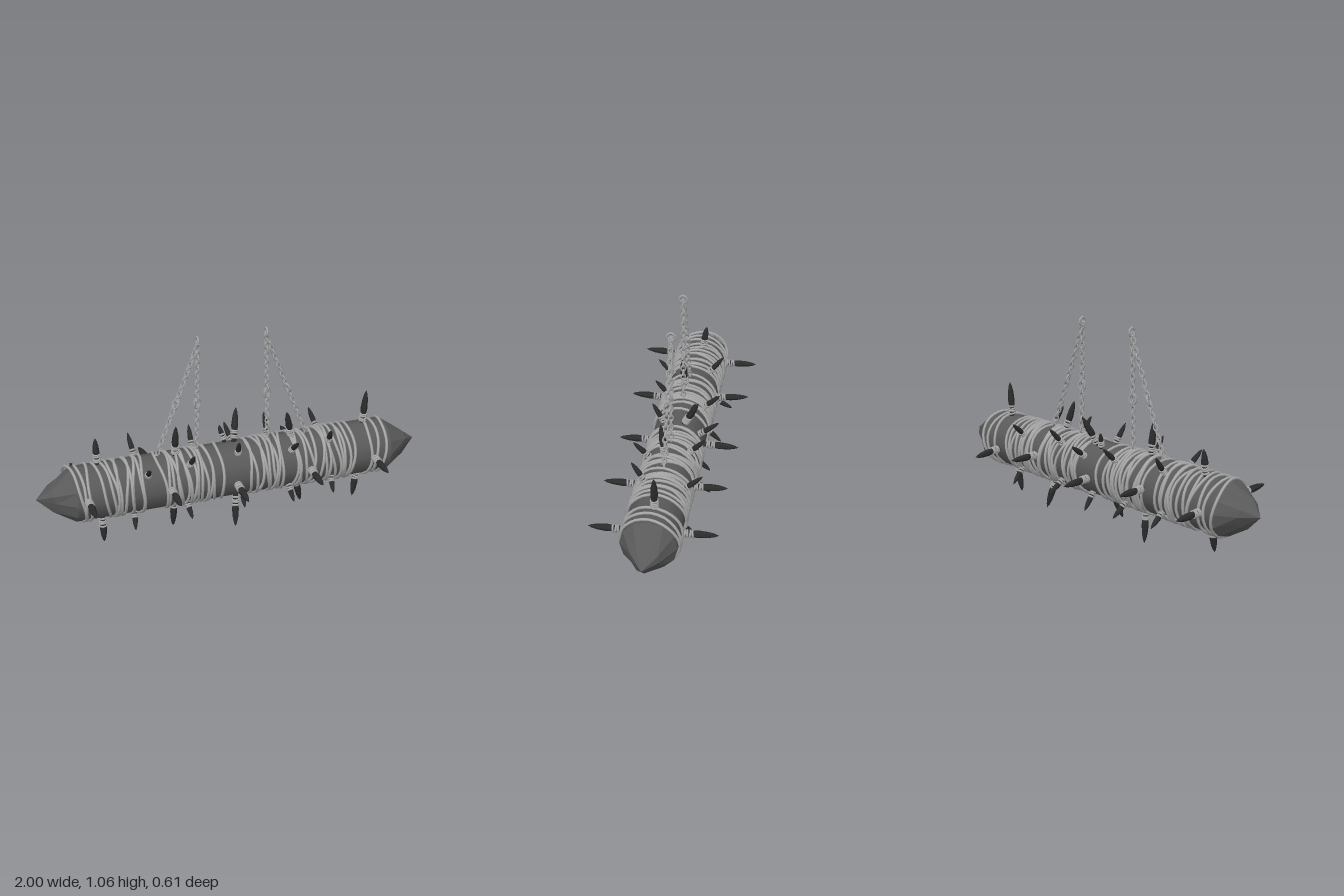
import * as THREE from 'three';

const AXIS_Y = 0.318, LOG_R = 0.137;
const UP = new THREE.Vector3(0, 1, 0);
const V = (x, y, z) => new THREE.Vector3(x, y, z);

const woodMat = new THREE.MeshStandardMaterial({ color: 0x5a5a5a });
const tipMat = new THREE.MeshStandardMaterial({ color: 0x5a5a5a, flatShading: true });
const spikeMat = new THREE.MeshStandardMaterial({ color: 0x2b2b2b, flatShading: true });
const ropeMat = new THREE.MeshStandardMaterial({ color: 0xa8a8a8 });
const chainMat = new THREE.MeshStandardMaterial({ color: 0xa0a0a0, flatShading: true });

function seeded(seed) {
  return () => (seed = (seed * 16807) % 2147483647) / 2147483647;
}

function add(parent, name, geometry, material) {
  const mesh = new THREE.Mesh(geometry, material);
  mesh.name = name;
  parent.add(mesh);
  return mesh;
}

// Log body with a roughly hewn point at each end
function makeLog() {
  const log = new THREE.Group();
  log.name = 'log';
  const body = add(log, 'logBody', new THREE.CylinderGeometry(LOG_R, LOG_R, 1.64, 12, 1, true), woodMat);
  body.rotation.z = Math.PI / 2;
  for (const side of [-1, 1]) {
    const profile = [[LOG_R, 0], [0.072, 0.098], [0, 0.18]].map(([r, h]) => new THREE.Vector2(r, h));
    const geo = new THREE.LatheGeometry(profile, 12);
    const pos = geo.attributes.position;
    for (let i = 0; i < pos.count; i++) {
      const h = pos.getY(i);
      // uneven axe cuts on the middle ring
      if (h > 0.05 && h < 0.15) {
        const a = Math.atan2(pos.getZ(i), pos.getX(i));
        pos.setY(i, h + 0.014 * Math.sin(3 * a + side));
      }
    }
    geo.computeVertexNormals();
    const tip = add(log, side > 0 ? 'leftPoint' : 'rightPoint', geo, tipMat);
    tip.rotation.z = -side * Math.PI / 2;
    tip.position.x = side * 0.82;
  }
  return log;
}

// Rope turns: slightly tilted loops, bunched into bands
function makeRopes() {
  const ropes = new THREE.Group();
  ropes.name = 'ropeWraps';
  const rnd = seeded(77);
  const bands = [
    [-0.81, -0.75, 3], [-0.68, -0.48, 10], [-0.38, -0.13, 13], [-0.08, -0.08, 1],
    [0.07, 0.25, 9], [0.29, 0.40, 6], [0.44, 0.61, 9], [0.71, 0.79, 3],
  ];
  for (const [x0, x1, n] of bands) {
    for (let i = 0; i < n; i++) {
      const x = n > 1 ? x0 + (x1 - x0) * i / (n - 1) : x0;
      const tilt = (rnd() - 0.5) * 0.055, phase = rnd() * 6.28, wob = rnd() * 6.28;
      const pts = [];
      for (let k = 0; k < 14; k++) {
        const a = k / 14 * Math.PI * 2;
        const r = LOG_R + 0.003 + 0.002 * Math.sin(2 * a + wob);
        pts.push(V(x + tilt * Math.cos(a + phase) + 0.005 * Math.sin(3 * a + wob), r * Math.cos(a), r * Math.sin(a)));
      }
      const path = new THREE.CatmullRomCurve3(pts, true);
      add(ropes, 'ropeTurn', new THREE.TubeGeometry(path, 28, 0.0075, 6, true), ropeMat);
    }
  }
  return ropes;
}

// Spike from base to tip with rope bound round its foot
function makeSpike(name, base, tip, radius, turns) {
  const spike = new THREE.Group();
  spike.name = name;
  const len = base.distanceTo(tip);
  const profile = [[0.7, 0], [0.8, 0.3], [1, 0.5], [0.8, 0.74], [0.45, 0.9], [0, 1]]
    .map(([r, h]) => new THREE.Vector2(r * radius, h * len));
  add(spike, 'spikeBlade', new THREE.LatheGeometry(profile, 7), spikeMat);
  for (let i = 0; i < turns; i++) {
    const ring = add(spike, 'spikeBinding', new THREE.TorusGeometry(radius * 0.9, 0.0055, 5, 12), ropeMat);
    ring.rotation.x = Math.PI / 2 + (i % 2 ? 0.12 : -0.1);
    ring.position.y = 0.026 + i * 0.0125;
  }
  spike.position.copy(base);
  spike.quaternion.setFromUnitVectors(UP, tip.clone().sub(base).normalize());
  return spike;
}

function makeSpikes() {
  const spikes = new THREE.Group();
  spikes.name = 'spikes';
  const big = (name, base, tip) => spikes.add(makeSpike(name, base, tip, 0.018, 4));

  // Upper and lower rows: base x, base z, tip x, tip y, tip z
  const upper = [
    [-0.685, -0.02, -0.685, 0.265, -0.04], [-0.30, 0.01, -0.297, 0.30, 0.03],
    [0.02, -0.03, 0.058, 0.28, -0.11], [0.315, 0.01, 0.275, 0.29, 0.04], [0.71, -0.01, 0.727, 0.315, -0.01],
  ];
  for (const [bx, bz, tx, ty, tz] of upper) big('upperSpike', V(bx, 0.12, bz), V(tx, ty, tz));
  const lower = [
    [-0.685, 0.03, -0.685, -0.27, 0.055], [-0.30, -0.02, -0.305, -0.306, -0.035],
    [0.005, 0.045, -0.015, -0.285, 0.105], [0.35, -0.02, 0.395, -0.298, -0.05], [0.69, 0.0, 0.665, -0.288, 0.01],
  ];
  for (const [bx, bz, tx, ty, tz] of lower) big('lowerSpike', V(bx, -0.12, bz), V(tx, ty, tz));

  // Front and back rows: x, y
  const front = [[-0.77, 0.025], [-0.355, 0.012], [-0.015, -0.018], [0.375, -0.004], [0.725, 0]];
  for (const [x, y] of front) big('frontSpike', V(x, y, 0.12), V(x, y * 1.4, 0.305));
  const back = [[-0.755, 0, -0.765], [-0.385, 0.02, -0.405], [-0.015, -0.015, -0.018], [0.375, 0.015, 0.372], [0.685, -0.02, 0.665]];
  for (const [x, y, tx] of back) big('backSpike', V(x, y, -0.12), V(tx, y * 1.4, -0.305));

  // Short spikes on the diagonals: angle from +z, reach, x positions
  const rows = [
    ['upperFrontSpike', 50, 0.25, [-0.46, -0.25, 0.01, 0.28, 0.49]],
    ['upperBackSpike', 136, 0.26, [-0.48, -0.18, 0.04, 0.22, 0.50]],
    ['lowerBackSpike', 220, 0.245, [-0.50, -0.25, 0.0, 0.20, 0.53]],
    ['lowerFrontSpike', 318, 0.23, [-0.53, -0.27, 0.02, 0.27, 0.50]],
  ];
  for (const [name, deg, reach, xs] of rows) {
    xs.forEach((x, i) => {
      const a = (deg + (i * 2 % 5 - 2) * 4) * Math.PI / 180;
      const dir = V(0, Math.sin(a), Math.cos(a));
      const base = dir.clone().multiplyScalar(0.115).setX(x);
      const tip = dir.clone().multiplyScalar(reach).setX(x + (i % 2 ? 0.01 : -0.015));
      spikes.add(makeSpike(name, base, tip, 0.014, 3));
    });
  }
  // Extra short spike beside the middle upper one
  spikes.add(makeSpike('upperSpike', V(-0.02, 0.115, -0.05), V(-0.042, 0.21, -0.08), 0.014, 3));
  return spikes;
}

// One oval chain link standing along y
function linkGeometry(halfW, halfH, wire) {
  const pts = [];
  for (let k = 0; k < 8; k++) {
    const a = (k + 0.5) / 8 * Math.PI * 2;
    pts.push(V(halfW * Math.cos(a), halfH * Math.sin(a), 0));
  }
  return new THREE.TubeGeometry(new THREE.CatmullRomCurve3(pts, true), 10, wire, 5, true);
}
const smallLink = linkGeometry(0.011, 0.018, 0.0042);
const bigLink = linkGeometry(0.018, 0.026, 0.006);

// Run of links, each turned a quarter from the last, with a larger joining link
function makeChain(name, from, to, bigAt) {
  const chain = new THREE.Group();
  chain.name = name;
  const len = from.distanceTo(to), n = Math.round(len / 0.0265), bigIndex = Math.round(n * bigAt);
  for (let i = 0; i <= n; i++) {
    const link = add(chain, 'chainLink', i === bigIndex ? bigLink : smallLink, chainMat);
    link.position.y = len * i / n;
    link.rotation.y = (i % 2) * Math.PI / 2 + Math.PI / 8;
  }
  chain.position.copy(from);
  chain.quaternion.setFromUnitVectors(UP, to.clone().sub(from).normalize());
  return chain;
}

export function createModel() {
  const model = new THREE.Group();
  model.name = 'spikedLogTrap';
  const trunk = new THREE.Group();
  trunk.name = 'trunk';
  trunk.position.y = AXIS_Y;
  trunk.add(makeLog(), makeRopes(), makeSpikes());
  model.add(trunk);

  // Two hanging chain pairs, each meeting at a top ring
  for (const s of [-1, 1]) {
    const side = s > 0 ? 'left' : 'right';
    const top = V(s * 0.174, 1.025, 0.005);
    model.add(makeChain(side + 'UprightChain', V(s * 0.186, 0.455, 0.005), top, 0.46));
    model.add(makeChain(side + 'SlantedChain', V(s * 0.395, 0.45, 0.005), top, 0.46));
    const ring = add(model, side + 'TopRing', linkGeometry(0.019, 0.022, 0.006), chainMat);
    ring.position.set(s * 0.174, 1.042, 0.005);
    ring.rotation.y = Math.PI / 2;
  }
  return model;
}
